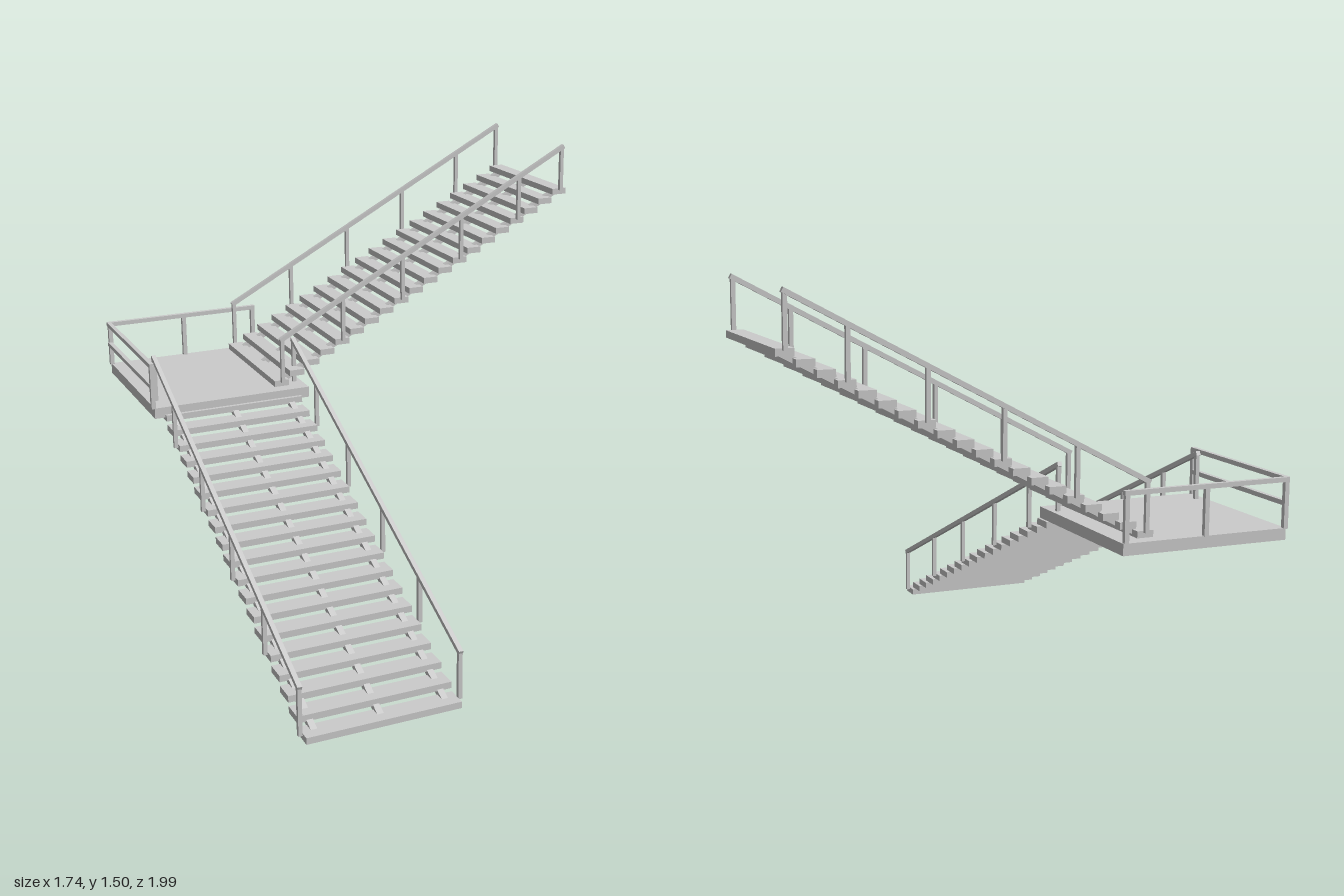
import * as THREE from 'three';

const material = new THREE.MeshStandardMaterial({ color: 0xcccccc });

function box(parent, name, size, position) {
  const mesh = new THREE.Mesh(new THREE.BoxGeometry(...size), material);
  mesh.name = name;
  mesh.position.set(...position);
  parent.add(mesh);
  return mesh;
}

// Square bar sloping in the local x-y plane between two points
function slopedBar(parent, name, a, b, z, height, width) {
  const dx = b[0] - a[0], dy = b[1] - a[1];
  const bar = box(parent, name, [Math.hypot(dx, dy), height, width],
    [(a[0] + b[0]) / 2, (a[1] + b[1]) / 2, z]);
  bar.rotation.z = Math.atan2(dy, dx);
}

// One straight flight that climbs along local +x, centred on local z = 0
function flight(name, o) {
  const group = new THREE.Group();
  group.name = name;
  const slope = o.rise / o.pitch;

  for (let i = 0; i < o.count; i++) {
    box(group, 'tread', [o.depth, 0.023, o.width],
      [i * o.pitch + o.depth / 2, i * o.rise + 0.012, 0]);
  }

  // Three beams carry the treads
  const beamY = (x) => o.beamOffset + slope * x;
  for (const z of [-0.225, 0, 0.225]) {
    slopedBar(group, 'stringer', [o.beamStart, beamY(o.beamStart)],
      [o.beamEnd, beamY(o.beamEnd)], z, 0.02, 0.022);
  }

  // Handrail and posts on each side
  const first = o.posts[0], last = o.posts[o.posts.length - 1];
  const railY = (x) => o.railOffset + slope * (x - first);
  for (const side of [-1, 1]) {
    const z = side * (o.width / 2 + 0.008);
    slopedBar(group, 'handrail', [first - 0.008, railY(first - 0.008)],
      [last + 0.008, railY(last + 0.008)], z, 0.016, 0.016);
    for (const x of o.posts) {
      const bottom = railY(x) - o.postHeight;
      box(group, 'railPost', [0.014, o.postHeight, 0.014],
        [x, bottom + o.postHeight / 2, z]);
    }
  }
  return group;
}

export function createModel() {
  const model = new THREE.Group();
  model.name = 'staircase';

  // Lower flight climbs from the front towards the back
  const lower = flight('lowerFlight', {
    count: 19, pitch: 0.0762, rise: 0.0336, depth: 0.074, width: 0.532,
    beamStart: 0.038, beamEnd: 1.47, beamOffset: -0.005,
    posts: [0.035, 0.337, 0.639, 0.941, 1.243, 1.475],
    railOffset: 0.185, postHeight: 0.168,
  });
  lower.rotation.y = Math.PI / 2;
  lower.position.set(-0.55, 0.013, 1);
  model.add(lower);

  // Upper flight climbs to the left from the landing
  const upper = flight('upperFlight', {
    count: 20, pitch: 0.0625, rise: 0.0335, depth: 0.058, width: 0.54,
    beamStart: 0.035, beamEnd: 1.222, beamOffset: -0.012,
    posts: [0.03, 0.28, 0.53, 0.78, 1.03, 1.218],
    railOffset: 0.188, postHeight: 0.17,
  });
  upper.position.set(-0.375, 0.675, -0.69);
  model.add(upper);

  // Landing slab
  const landing = new THREE.Group();
  landing.name = 'landing';
  model.add(landing);
  box(landing, 'platform', [0.605, 0.04, 0.605], [-0.553, 0.65, -0.688]);

  // Back guard rail
  for (const x of [-0.854, -0.553, -0.262]) {
    box(landing, 'guardPost', [0.016, 0.165, 0.016], [x, 0.75, -0.985]);
  }
  box(landing, 'guardRail', [0.61, 0.016, 0.016], [-0.558, 0.833, -0.985]);

  // Side guard rail with a middle bar
  box(landing, 'guardPost', [0.016, 0.165, 0.016], [-0.858, 0.75, -0.395]);
  for (const y of [0.752, 0.833]) {
    box(landing, 'guardRail', [0.016, 0.016, 0.6], [-0.858, y, -0.688]);
  }

  return model;
}
